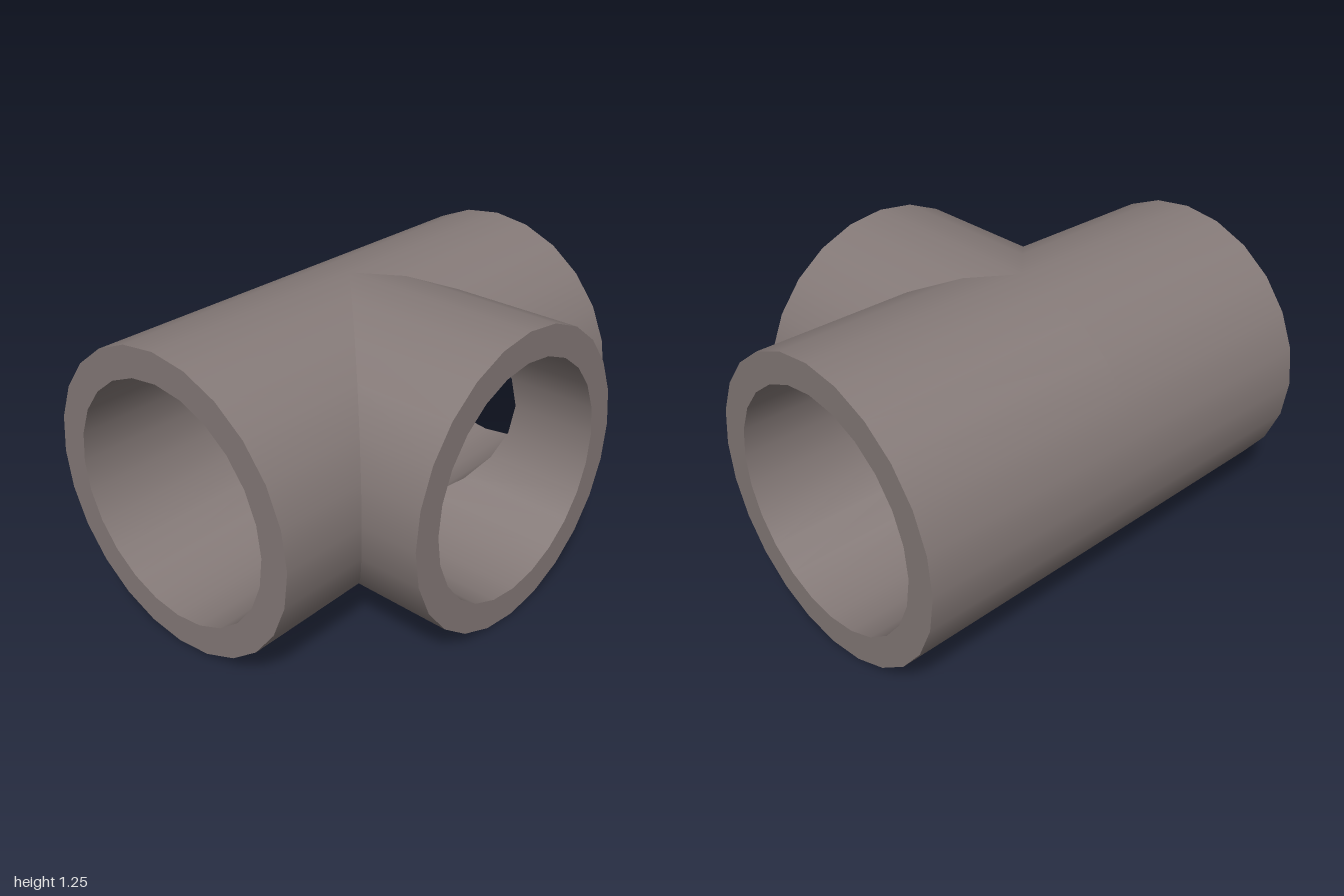
import * as THREE from 'three';

const SIDES = 24, OUTER = 0.625, INNER = 0.5;

// One tube wall along +z; its near end is cut to the rule near(x), its far end is square.
function sleeve(radius, near, far, inward) {
  const pos = [], norm = [], index = [];
  const s = inward ? -1 : 1;
  for (let i = 0; i <= SIDES; i++) {
    const a = (i / SIDES) * Math.PI * 2;
    const c = Math.cos(a), n = Math.sin(a);
    pos.push(radius * c, radius * n, near(radius * c), radius * c, radius * n, far);
    norm.push(s * c, s * n, 0, s * c, s * n, 0);
    if (i === SIDES) break;
    const k = 2 * i;
    if (inward) index.push(k, k + 3, k + 2, k, k + 1, k + 3);
    else index.push(k, k + 2, k + 3, k, k + 3, k + 1);
  }
  const g = new THREE.BufferGeometry();
  g.setAttribute('position', new THREE.Float32BufferAttribute(pos, 3));
  g.setAttribute('normal', new THREE.Float32BufferAttribute(norm, 3));
  g.setIndex(index);
  return g;
}

// An arm of the fitting: outer wall, bore and flat end ring.
function makeArm(name, near, far, material) {
  const arm = new THREE.Group();
  arm.name = name;
  const add = (part, geometry) => {
    const mesh = new THREE.Mesh(geometry, material);
    mesh.name = part;
    arm.add(mesh);
    return mesh;
  };
  add('outerWall', sleeve(OUTER, near, far, false));
  add('bore', sleeve(INNER, near, far, true));
  add('endRing', new THREE.RingGeometry(INNER, OUTER, SIDES, 1)).position.z = far;
  return arm;
}

export function createModel() {
  const model = new THREE.Group();
  model.name = 'pipeTee';
  const material = new THREE.MeshStandardMaterial({ color: 0x857a78 });

  // The run is mitred only on the branch side (+x); the branch is mitred on both sides.
  const runCut = (x) => Math.max(0, x);
  const frontArm = makeArm('frontArm', runCut, 1, material);
  const backArm = makeArm('backArm', runCut, 1, material);
  backArm.rotation.x = Math.PI;
  const branchArm = makeArm('branchArm', Math.abs, 0.875, material);
  branchArm.rotation.y = Math.PI / 2;

  for (const arm of [frontArm, backArm, branchArm]) {
    arm.position.set(-0.125, OUTER, 0);
    model.add(arm);
  }
  return model;
}
